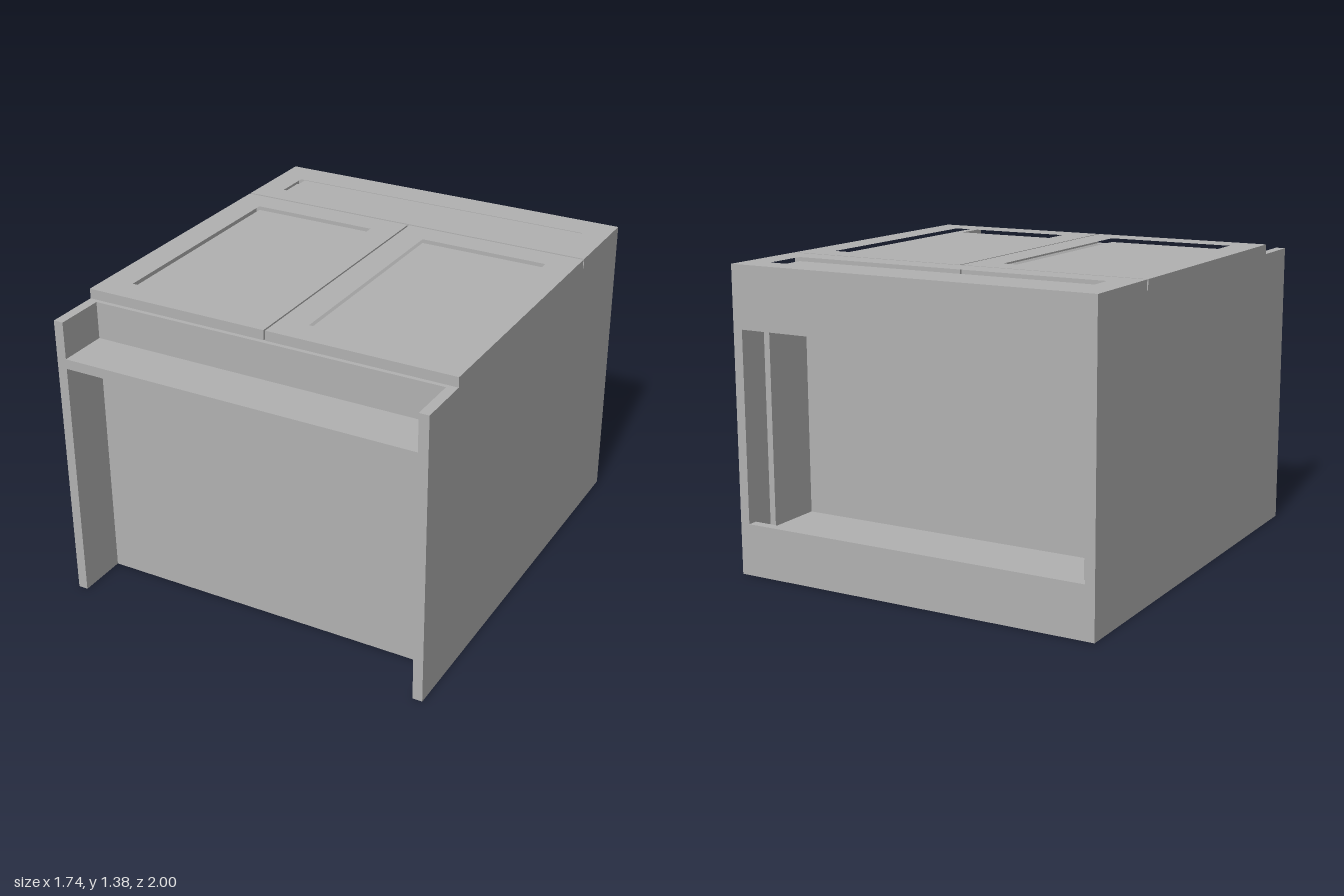
import * as THREE from 'three';

// Base cabinet lying on its back: fronts face up (+y), toe space faces +z.
const W = 0.87, T = 0.045, FRONT = 1.335, TOP = 1.38;
const IN = W - T;

export function createModel() {
  const cabinet = new THREE.Group();
  cabinet.name = 'cabinet';
  const grey = new THREE.MeshStandardMaterial({ color: 0xb2b2b2 });
  grey.name = 'plain grey';

  // Box given by its two extreme corners
  function board(name, x0, x1, y0, y1, z0, z1, parent = cabinet) {
    const mesh = new THREE.Mesh(new THREE.BoxGeometry(x1 - x0, y1 - y0, z1 - z0), grey);
    mesh.position.set((x0 + x1) / 2, (y0 + y1) / 2, (z0 + z1) / 2);
    mesh.name = name;
    parent.add(mesh);
  }

  function rectangle(path, x0, x1, z0, z1) {
    path.moveTo(x0, -z0);
    path.lineTo(x1, -z0);
    path.lineTo(x1, -z1);
    path.lineTo(x0, -z1);
    path.closePath();
    return path;
  }

  // Framed front with a recessed centre panel: outer and inner are [x0, x1, z0, z1]
  function framedFront(name, outer, inner) {
    const group = new THREE.Group();
    group.name = name;
    const shape = rectangle(new THREE.Shape(), ...outer);
    shape.holes.push(rectangle(new THREE.Path(), ...inner));
    const geometry = new THREE.ExtrudeGeometry(shape, { depth: TOP - FRONT, bevelEnabled: false });
    geometry.rotateX(-Math.PI / 2);
    const frame = new THREE.Mesh(geometry, grey);
    frame.position.y = FRONT;
    frame.name = name + 'Frame';
    group.add(frame);
    const [x0, x1, z0, z1] = inner;
    board(name + 'Panel', x0, x1, FRONT, TOP - 0.018, z0, z1, group);
    cabinet.add(group);
  }

  // Carcass
  board('leftSide', IN, W, 0, FRONT, -1, 1);
  board('rightSide', -W, -IN, 0, FRONT, -1, 1);
  board('backPanel', -IN, IN, 0, 0.03, -0.955, 0.72);
  board('bottomPanel', -IN, IN, 0, FRONT, 0.72, 0.765);
  board('toeKick', -IN, IN, 1.12, 1.165, 0.765, 1);
  board('backStretcher', -IN, IN, 0, 0.235, -1, -0.955);
  board('frontStretcher', -IN, IN, 1.1, FRONT, -1, -0.955);
  board('middleRail', -IN, IN, 1.1, FRONT, -0.585, -0.54);

  // Drawer box, open towards -z
  const drawer = new THREE.Group();
  drawer.name = 'drawerBox';
  cabinet.add(drawer);
  const dx = 0.795, dt = 0.029, y0 = 0.177, z0 = -0.89, z1 = -0.61;
  board('drawerLeftSide', dx - dt, dx, y0, FRONT, z0, z1, drawer);
  board('drawerRightSide', -dx, -dx + dt, y0, FRONT, z0, z1, drawer);
  board('drawerBack', -dx + dt, dx - dt, y0, y0 + dt, z0, z1, drawer);
  board('drawerInnerFront', -dx + dt, dx - dt, FRONT - dt, FRONT, z0, z1, drawer);
  board('drawerBottom', -dx + dt, dx - dt, y0 + dt, FRONT - dt, -0.627, z1, drawer);

  // Drawer front and the pair of doors
  framedFront('drawerFront', [-W, W, -1, -0.565], [-0.75, 0.75, -0.885, -0.68]);
  framedFront('leftDoor', [0.004, W, -0.555, 0.745], [0.135, 0.739, -0.43, 0.615]);
  framedFront('rightDoor', [-W, -0.004, -0.555, 0.745], [-0.739, -0.135, -0.43, 0.615]);

  return cabinet;
}
